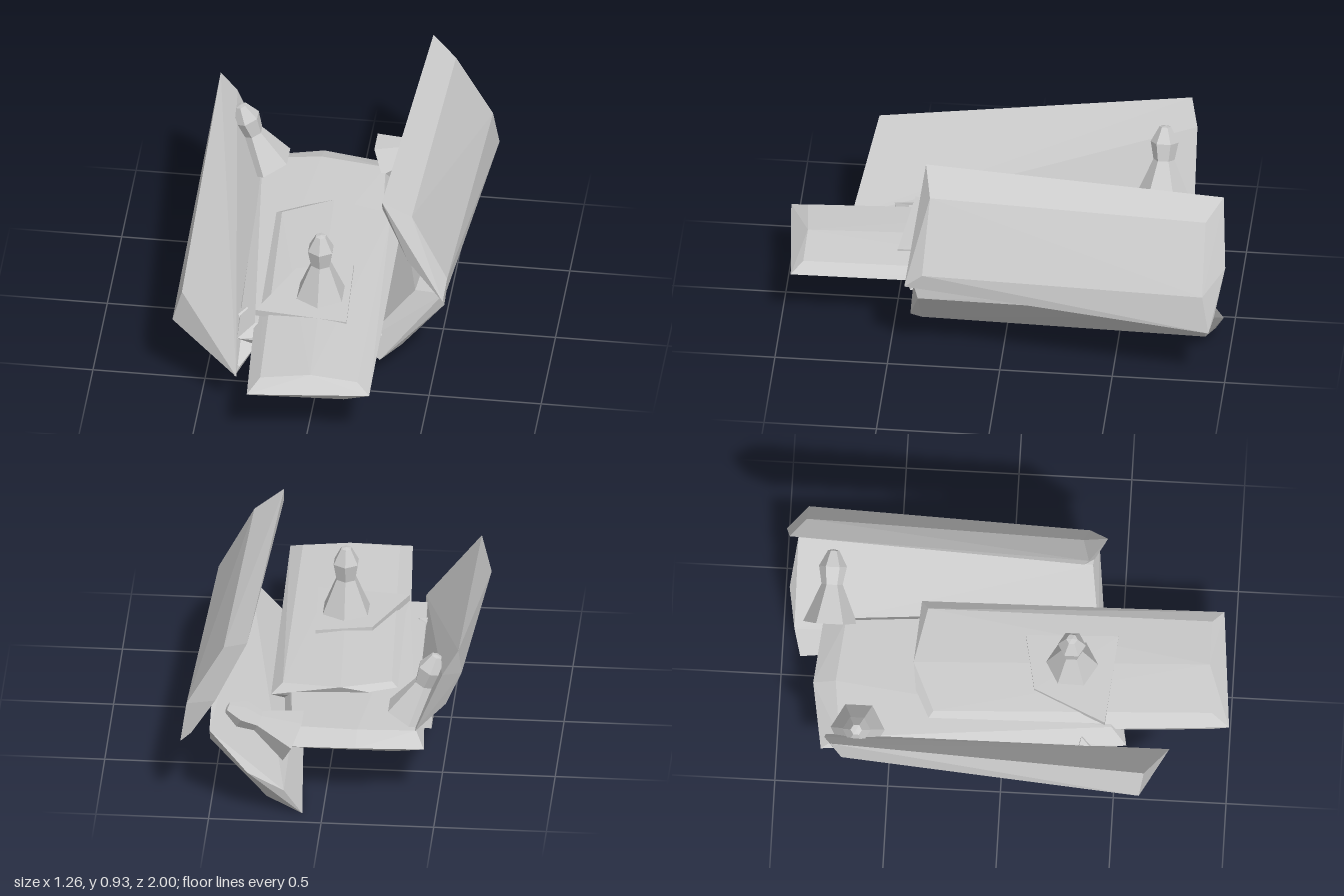
import * as THREE from 'three';
import { ConvexGeometry } from 'three/addons/geometries/ConvexGeometry.js';

const material = new THREE.MeshStandardMaterial({ color: 0xcccccc, flatShading: true, side: THREE.DoubleSide });

// Rough-hewn slab: the hull of its corner points
function slab(name, corners) {
  const mesh = new THREE.Mesh(new ConvexGeometry(corners.map((c) => new THREE.Vector3(...c))), material);
  mesh.name = name;
  return mesh;
}

// Faceted standing piece: flared body, narrow neck, rounded head
function figure(name, position, direction) {
  const profile = [[0, 0], [0.12, 0], [0.047, 0.17], [0.062, 0.25], [0.025, 0.32], [0, 0.325]];
  const geometry = new THREE.LatheGeometry(profile.map(([r, y]) => new THREE.Vector2(r, y)), 6);
  const mesh = new THREE.Mesh(geometry, material);
  mesh.name = name;
  mesh.position.set(...position);
  mesh.quaternion.setFromUnitVectors(new THREE.Vector3(0, 1, 0), new THREE.Vector3(...direction).normalize());
  return mesh;
}

export function createModel() {
  const model = new THREE.Group();
  model.name = 'slabCluster';

  model.add(
    // Flat slabs in the middle
    slab('frontSlab', [
      [-0.25, 0.3, 1.0], [0.29, 0.305, 0.95], [-0.2, 0.34, 0.92], [0.23, 0.34, 0.9], [0.02, 0.36, 0.9],
      [-0.24, 0.24, 0.92], [0.17, 0.24, 0.9],
      [-0.34, 0.29, -0.37], [0.27, 0.3, -0.39], [-0.26, 0.345, -0.31], [0.22, 0.345, -0.36],
      [-0.04, 0.36, -0.41], [-0.28, 0.25, -0.3], [0.2, 0.25, -0.33],
    ]),
    slab('backSlab', [
      [-0.35, 0.27, 0.55], [-0.28, 0.31, 0.48], [-0.25, 0.2, 0.5], [0.05, 0.2, 0.48],
      [0.17, 0.2, 0.38], [0.28, 0.25, 0.42], [0.25, 0.29, 0.38],
      [-0.44, 0.28, -0.8], [-0.14, 0.3, -0.85], [0.17, 0.28, -0.82],
      [-0.4, 0.33, -0.72], [-0.14, 0.34, -0.75], [0.15, 0.33, -0.72], [-0.3, 0.21, -0.7], [0.08, 0.21, -0.7],
    ]),
    // Leaning slabs on the left side
    slab('leftLowerSlab', [
      [0.18, 0.18, 0.4], [0.27, 0.115, 0.42], [0.36, 0.165, 0.36], [0.55, 0.4, 0.36], [0.55, 0.475, 0.38], [0.42, 0.47, 0.36],
      [0.09, 0.0, -0.92], [0.25, 0.065, -0.89], [0.5, 0.35, -0.9], [0.5, 0.42, -0.95],
      [0.33, 0.23, -0.98], [0.17, 0.13, -0.95],
    ]),
    slab('leftUpperSlab', [
      [0.27, 0.93, 0.35], [0.27, 0.88, 0.33], [0.39, 0.63, 0.37], [0.55, 0.46, 0.42], [0.56, 0.53, 0.34], [0.4, 0.84, 0.32],
      [0.33, 0.885, -0.98], [0.44, 0.82, -0.91], [0.605, 0.53, -0.91], [0.63, 0.355, -0.94],
      [0.47, 0.6, -1.0], [0.58, 0.41, -0.96],
    ]),
    // Leaning slab on the right side, with a chunk at its foot
    slab('rightSlab', [
      [-0.63, 0.4, 0.62], [-0.56, 0.53, 0.62], [-0.585, 0.57, 0.64], [-0.33, 0.2, 0.74], [-0.42, 0.145, 0.55],
      [-0.59, 0.76, -0.75], [-0.6, 0.62, -0.7], [-0.52, 0.65, -0.78], [-0.4, 0.36, -0.78], [-0.53, 0.46, -0.7],
    ]),
    slab('footChunk', [
      [-0.48, 0.23, 0.5], [-0.36, 0.07, 0.56], [-0.34, 0.115, 0.55], [-0.25, 0.2, 0.42],
      [-0.33, 0.3, 0.35], [-0.41, 0.26, 0.33], [-0.4, 0.12, 0.28],
    ]),
    // Thin plate under the middle figure
    slab('basePlate', [
      ...[0.34, 0.37].flatMap((y) => [[-0.14, y, 0.13], [0.11, y, 0.08], [0.13, y - 0.01, 0.49], [-0.28, y - 0.01, 0.45]]),
    ]),
    figure('middleFigure', [-0.01, 0.355, 0.29], [0, 1, 0]),
    figure('rightFigure', [-0.37, 0.37, -0.64], [-0.36, 0.93, 0]),
    figure('leftFigure', [0.14, 0.32, -0.79], [0.9, 0.4, 0]),
  );
  return model;
}
